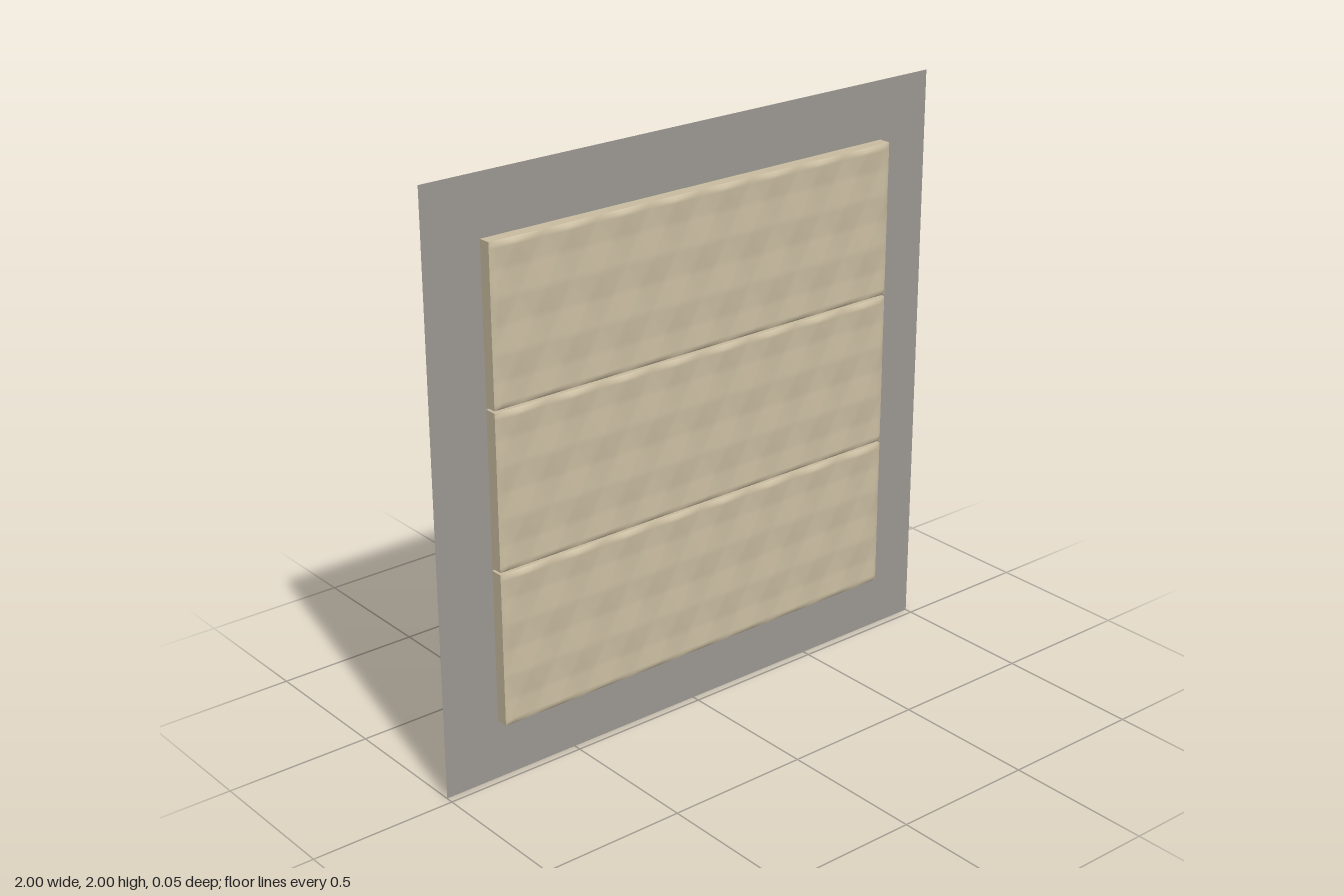
import * as THREE from 'three';

const WIDTH = 1.595, HEIGHT = 0.526, PITCH = 0.534, DEPTH = 0.042, BACK = -0.026;
const RELIEF = 0.011, SPACING = 0.2, ROW = HEIGHT / 3;

// Triangle wave, 1 at whole numbers and 0 halfway between them
const wave = (t) => Math.abs(2 * (t - Math.floor(t)) - 1);

// Staggered pyramids on a triangular lattice, 0 to 1
function relief(x, y) {
  const v = y / ROW;
  const u = x / SPACING - v / 2;
  return (wave(u) + wave(v) + wave(u + v)) / 3;
}

// Slab whose front face is pressed into the quilted relief, with a level rim
function quiltedSlab() {
  const geo = new THREE.BoxGeometry(WIDTH, HEIGHT, DEPTH, 128, 48, 1);
  const pos = geo.attributes.position;
  const normal = geo.attributes.normal;
  for (let i = 0; i < pos.count; i++) {
    if (normal.getZ(i) < 0.5) continue;
    const x = pos.getX(i), y = pos.getY(i);
    const rim = Math.abs(x) > WIDTH / 2 - 1e-4 || Math.abs(y) > HEIGHT / 2 - 1e-4;
    if (!rim) pos.setZ(i, DEPTH / 2 + RELIEF * relief(x, y + HEIGHT / 2));
  }
  geo.computeVertexNormals();
  return geo;
}

export function createModel() {
  const model = new THREE.Group();
  model.name = 'quiltedWallPanel';

  const wallGrey = new THREE.MeshStandardMaterial({ color: 0x9b9690, side: THREE.DoubleSide });
  wallGrey.name = 'wall grey';
  const sand = new THREE.MeshStandardMaterial({ color: 0xc8bb9f });
  sand.name = 'sand';

  // Flat backing sheet
  const backing = new THREE.Mesh(new THREE.PlaneGeometry(2, 2), wallGrey);
  backing.name = 'backing';
  backing.position.set(0, 1, BACK);
  model.add(backing);

  // Three stacked panels with narrow gaps
  const slab = quiltedSlab();
  ['lowerPanel', 'middlePanel', 'upperPanel'].forEach((name, i) => {
    const panel = new THREE.Mesh(slab, sand);
    panel.name = name;
    panel.position.set(0, 1.002 + (i - 1) * PITCH, BACK + 0.001 + DEPTH / 2);
    model.add(panel);
  });

  return model;
}
